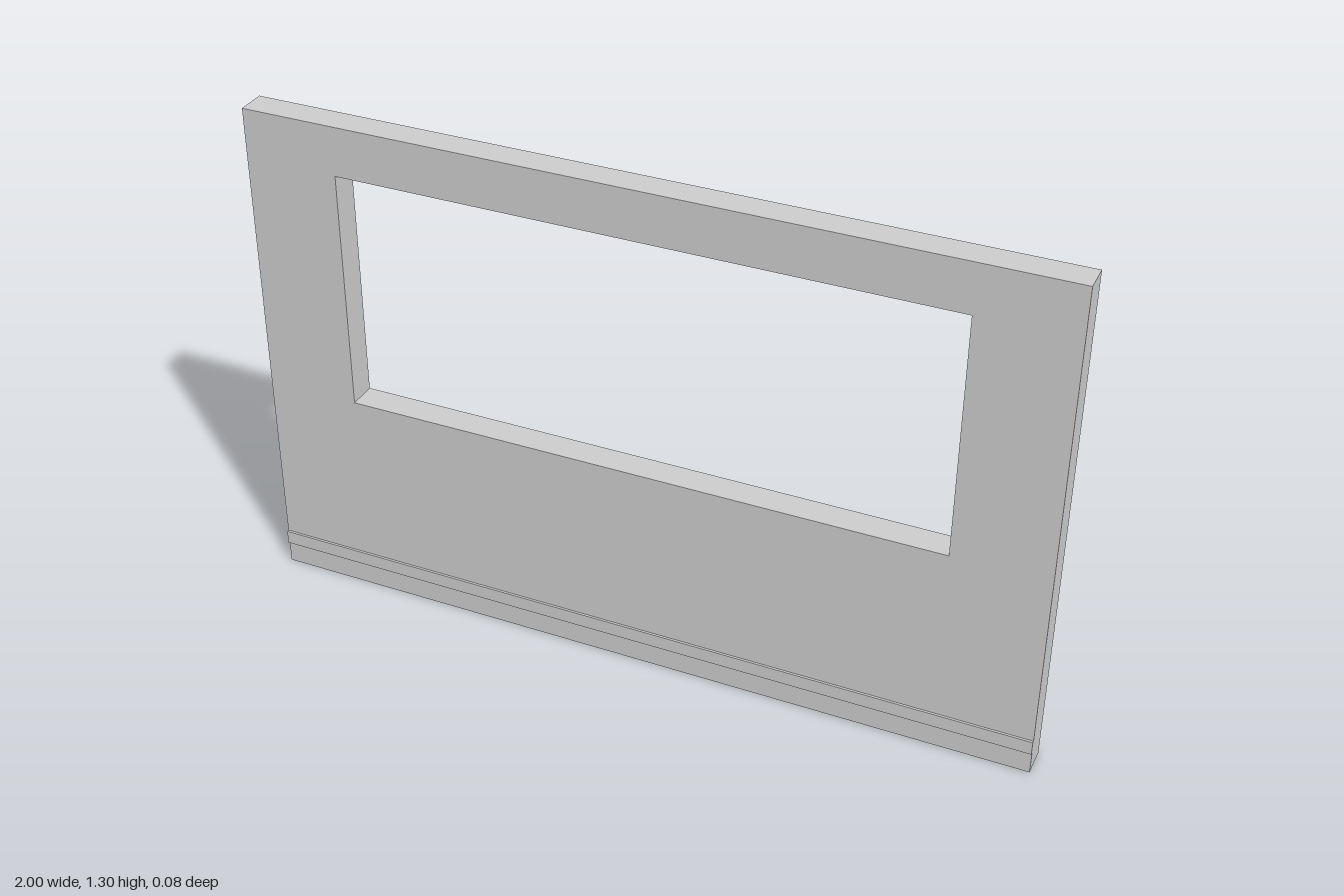
import * as THREE from 'three';

export function createModel() {
  const group = new THREE.Group();
  const material = new THREE.MeshStandardMaterial({ color: 0xcccccc, flatShading: true });

  const rectangle = (target, x0, y0, x1, y1) =>
    target.moveTo(x0, y0).lineTo(x1, y0).lineTo(x1, y1).lineTo(x0, y1).closePath();

  // Wall panel with a rectangular window opening
  const back = -0.04, front = 0.034;
  const outline = rectangle(new THREE.Shape(), -1, 0, 1, 1.302);
  outline.holes.push(rectangle(new THREE.Path(), -0.763, 0.555, 0.76, 1.176));
  const wallGeometry = new THREE.ExtrudeGeometry(outline, { depth: front - back, bevelEnabled: false });
  wallGeometry.translate(0, 0, back);
  const wall = new THREE.Mesh(wallGeometry, material);
  wall.name = 'wallPanel';
  group.add(wall);

  // Thin raised strip along the bottom of the front face
  const stripDepth = 0.006;
  const strip = new THREE.Mesh(new THREE.BoxGeometry(2, 0.036, stripDepth), material);
  strip.name = 'baseStrip';
  strip.position.set(0, 0.078, front + stripDepth / 2);
  group.add(strip);

  return group;
}
